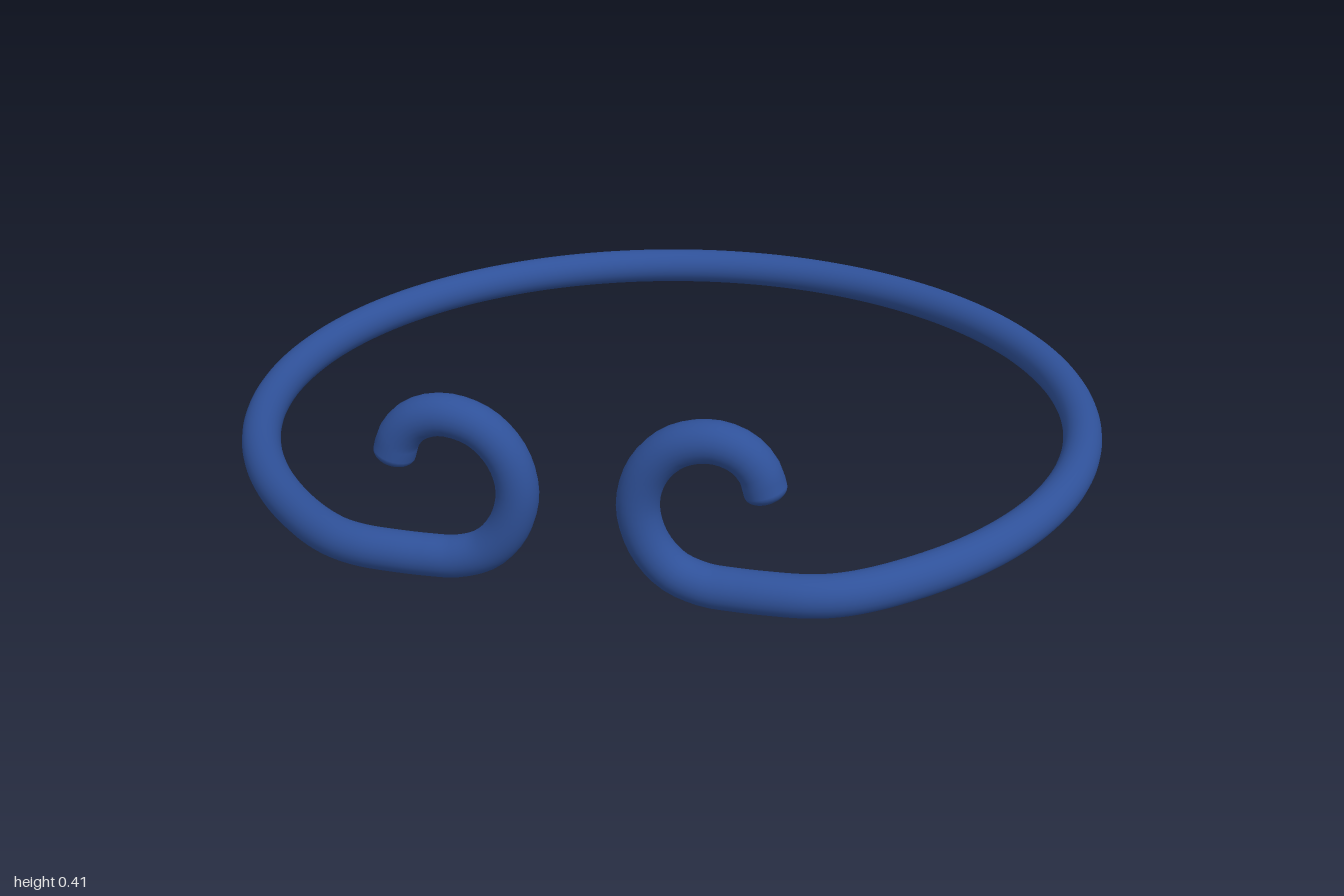
import * as THREE from 'three';

const R = 0.044;       // wire radius
const RING = 0.956;    // ring centreline radius
const RING_Z = 0.07;   // ring centre
const FRONT_Z = 0.886; // plane of the scrolls

export function createModel() {
  const group = new THREE.Group();
  group.name = 'openRing';
  const blue = new THREE.MeshStandardMaterial({ color: 0x2f5199 });
  blue.name = 'blue';

  // Left half of the centreline: ring arc, bend to the front, upright scroll
  const half = [];
  const steps = 24;
  for (let i = 0; i <= steps; i++) {
    const a = Math.PI - (i / steps) * THREE.MathUtils.degToRad(142);
    half.push(new THREE.Vector3(Math.sin(a) * RING, R, RING_Z + Math.cos(a) * RING));
  }
  half.push(
    new THREE.Vector3(0.525, R, 0.862),
    new THREE.Vector3(0.465, R, 0.88),
    new THREE.Vector3(0.39, R, FRONT_Z)
  );
  const scroll = [
    [0.32, 0.044], [0.26, 0.048], [0.195, 0.073], [0.146, 0.13], [0.125, 0.21],
    [0.145, 0.288], [0.2, 0.346], [0.275, 0.366], [0.335, 0.349], [0.37, 0.312], [0.383, 0.272],
  ];
  scroll.forEach(([x, y]) => half.push(new THREE.Vector3(x, y, FRONT_Z)));

  // Mirror the half to get one continuous wire
  const mirrored = half.slice(1).reverse().map((p) => new THREE.Vector3(-p.x, p.y, p.z));
  const curve = new THREE.CatmullRomCurve3([...mirrored, ...half], false, 'centripetal');
  curve.arcLengthDivisions = 1500;
  const wire = new THREE.Mesh(new THREE.TubeGeometry(curve, 320, R, 24, false), blue);
  wire.name = 'wire';
  group.add(wire);

  // Blunt rounded caps on both scroll tips
  for (const [t, sign, name] of [[0, -1, 'rightTip'], [1, 1, 'leftTip']]) {
    const cap = new THREE.SphereGeometry(R, 24, 8, 0, Math.PI * 2, 0, Math.PI / 2);
    cap.scale(1, 0.55, 1);
    const tip = new THREE.Mesh(cap, blue);
    tip.name = name;
    tip.position.copy(curve.getPointAt(t));
    const outward = curve.getTangentAt(t).multiplyScalar(sign);
    tip.quaternion.setFromUnitVectors(new THREE.Vector3(0, 1, 0), outward);
    group.add(tip);
  }
  return group;
}
